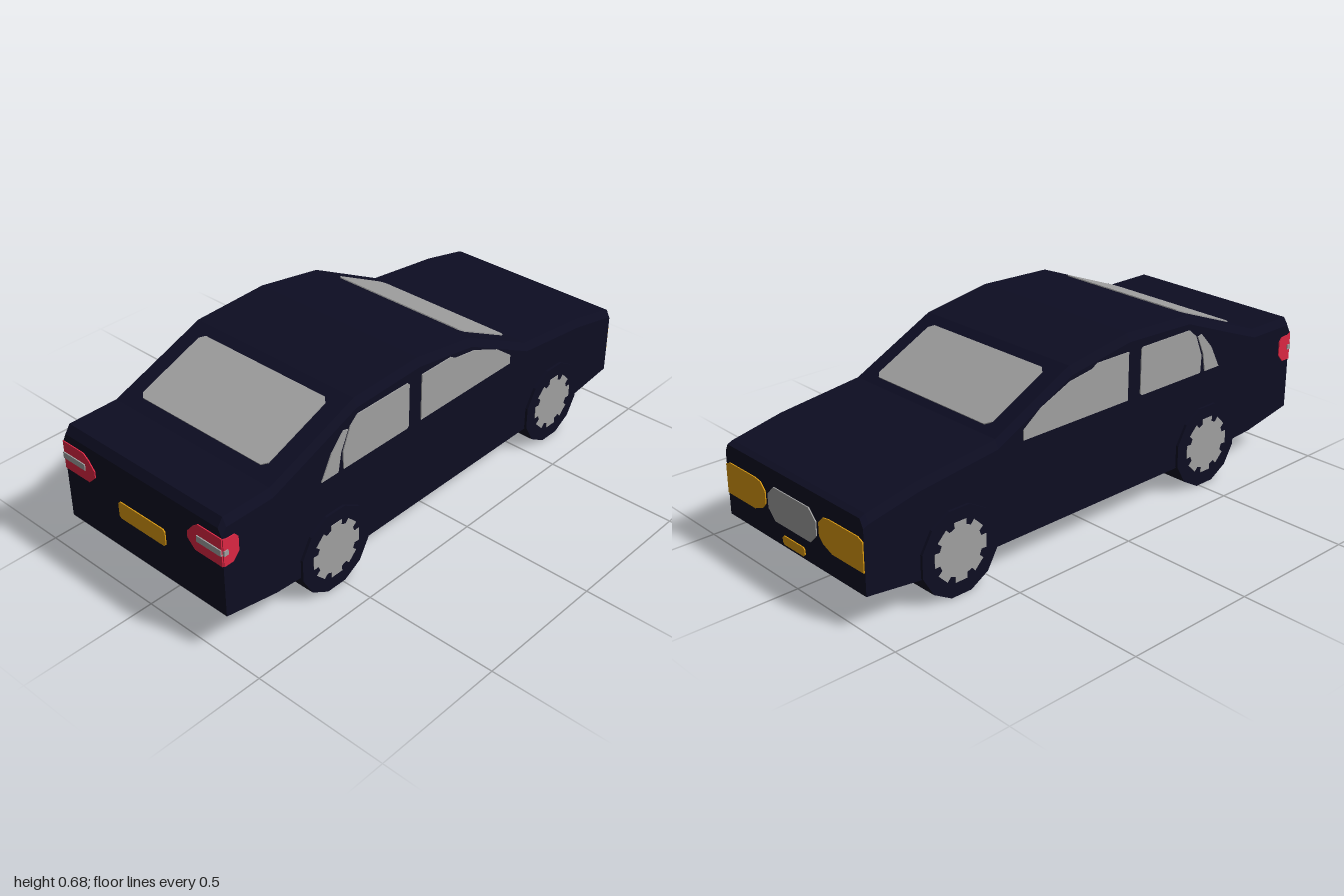
import * as THREE from 'three';

const mat = (name, color) => {
  const m = new THREE.MeshStandardMaterial({ color });
  m.name = name;
  return m;
};

export function createModel() {
  const car = new THREE.Group();
  car.name = 'car';
  const navy = mat('darkNavy', 0x0d0d22);
  const grey = mat('silverGrey', 0xa0a0a0);
  const red = mat('lampRed', 0xdc2643);
  const amber = mat('amber', 0xd9980f);
  const W = 0.37; // half width of the body
  const T = 0.004; // thickness of painted plates

  const add = (name, geo, material) => {
    const mesh = new THREE.Mesh(geo, material);
    mesh.name = name;
    car.add(mesh);
    return mesh;
  };

  // Body: beveled cross-sections [z, bottom, top] joined from tail to nose
  const stations = [
    [1, 0.17, 0.5], [0.98, 0.166, 0.53], [0.79, 0.13, 0.53], [0.64, 0.12, 0.587],
    [0.42, 0.105, 0.672], [0.12, 0.105, 0.682], [-0.15, 0.105, 0.637],
    [-0.47, 0.105, 0.476], [-0.79, 0.105, 0.437], [-0.98, 0.128, 0.396], [-1, 0.13, 0.387],
  ];
  const rings = stations.map(([z, b, t]) => [
    [W, b, z], [W, t - 0.03, z], [W - 0.015, t, z],
    [0.015 - W, t, z], [-W, t - 0.03, z], [-W, b, z],
  ]);
  const verts = [];
  const tri = (...corners) => corners.forEach((c) => verts.push(...c));
  for (let i = 0; i < rings.length - 1; i++) {
    const near = rings[i], far = rings[i + 1];
    for (let j = 0; j < 6; j++) {
      const k = (j + 1) % 6;
      tri(far[j], far[k], near[k]);
      tri(far[j], near[k], near[j]);
    }
  }
  const tail = rings[0], nose = rings[rings.length - 1];
  for (let j = 1; j < 5; j++) {
    tri(tail[0], tail[j], tail[j + 1]);
    tri(nose[0], nose[j + 1], nose[j]);
  }
  const bodyGeo = new THREE.BufferGeometry();
  bodyGeo.setAttribute('position', new THREE.Float32BufferAttribute(verts, 3));
  bodyGeo.computeVertexNormals();
  add('body', bodyGeo, navy);

  // Thin plate cut from an outline
  const plate = (name, pts, material, depth = T) => {
    const shape = new THREE.Shape(pts.map(([x, y]) => new THREE.Vector2(x, y)));
    return add(name, new THREE.ExtrudeGeometry(shape, { depth, bevelEnabled: false }), material);
  };
  // Outline in (z, y) placed on both flanks
  const sidePlates = (name, pts, material, x = W, depth = T) => {
    for (const s of [1, -1]) {
      const m = plate((s > 0 ? 'left' : 'right') + name, pts.map(([z, y]) => [-s * z, y]), material, depth);
      m.rotation.y = s * Math.PI / 2;
      m.position.x = s * x;
    }
  };
  const tailPlate = (name, pts, material, depth) => {
    plate(name, pts, material, depth).position.z = 1;
  };
  const nosePlate = (name, pts, material) => {
    const m = plate(name, pts, material);
    m.rotation.y = Math.PI;
    m.position.z = -1;
  };
  const rect = (x0, x1, y0, y1) => [[x0, y0], [x1, y0], [x1, y1], [x0, y1]];
  // Rectangle with clipped corners
  const clipped = (w, y0, y1, c, d = c) => [
    [-w + c, y0], [w - c, y0], [w, y0 + d], [w, y1 - d],
    [w - c, y1], [-w + c, y1], [-w, y1 - d], [-w, y0 + d],
  ];

  // Side windows
  sidePlates('FrontWindow', [
    [0.113, 0.445], [0.113, 0.62], [-0.035, 0.62], [-0.06, 0.605], [-0.16, 0.59],
    [-0.29, 0.535], [-0.365, 0.48], [-0.365, 0.445],
  ], grey);
  sidePlates('RearWindow', [
    [0.175, 0.452], [0.183, 0.445], [0.485, 0.445], [0.488, 0.51], [0.455, 0.59],
    [0.42, 0.62], [0.183, 0.62], [0.175, 0.612],
  ], grey);
  sidePlates('QuarterWindow', [
    [0.585, 0.445], [0.51, 0.445], [0.497, 0.515], [0.465, 0.585], [0.485, 0.59], [0.54, 0.53],
  ], grey);

  // Sloping windows lying on the body between two profile points
  const slopeWindow = (name, [z0, y0], [z1, y1], top, bottom, corner) => {
    const run = Math.abs(z0 - z1), len = Math.hypot(run, y1 - y0);
    const m = plate(name, clipped(0.29, len * bottom, len * top, corner), grey);
    m.rotation.order = 'YXZ';
    m.rotation.y = z0 > 0 ? 0 : Math.PI;
    m.rotation.x = -Math.atan2(run, y1 - y0);
    m.position.set(0, y0, z0);
  };
  slopeWindow('rearWindow', [0.79, 0.53], [0.42, 0.672], 0.89, 0.125, 0.018);
  slopeWindow('windshield', [-0.47, 0.476], [-0.15, 0.637], 0.875, 0.09, 0.018);

  // Tail lamps wrapping onto the flanks, with pale reflector strips
  for (const s of [1, -1]) {
    const mirror = (pts) => pts.map(([x, y]) => [s * x, y]);
    tailPlate('tailLamp', mirror([
      [W, 0.364], [0.25, 0.364], [0.218, 0.395], [0.218, 0.42], [0.245, 0.452], [0.268, 0.469], [W, 0.469],
    ]), red);
    tailPlate('tailLampStrip', mirror(rect(0.263, W, 0.405, 0.428)), grey, T * 2);
    // Headlamps
    nosePlate('headlamp', mirror([
      [0.368, 0.21], [0.21, 0.21], [0.165, 0.228], [0.145, 0.25], [0.145, 0.295],
      [0.17, 0.32], [0.2, 0.325], [0.345, 0.325], [0.368, 0.315],
    ]), amber);
  }
  sidePlates('LampWrap', [
    [1, 0.364], [0.962, 0.364], [0.938, 0.392], [0.938, 0.445], [0.95, 0.46], [0.985, 0.462], [1, 0.468],
  ], red);
  sidePlates('LampWrapStrip', rect(0.983, 1, 0.405, 0.423), grey, W, T * 2);

  // Plates and grille
  tailPlate('rearPlate', clipped(0.11, 0.297, 0.362, 0.008), amber);
  nosePlate('grille', clipped(0.13, 0.207, 0.327, 0.035), grey);
  nosePlate('frontPlate', clipped(0.06, 0.14, 0.172, 0.008), amber);

  // Wheels with eight-lobed hubcaps
  const wheelGeo = new THREE.CylinderGeometry(0.158, 0.158, 0.13, 12, 1, false, Math.PI / 12)
    .rotateZ(Math.PI / 2).toNonIndexed();
  wheelGeo.computeVertexNormals();
  for (const z of [0.53, -0.64]) {
    for (const s of [1, -1]) add('wheel', wheelGeo, navy).position.set(s * 0.315, 0.153, z);
    const hub = [];
    for (let i = 0; i < 8; i++) {
      for (const [da, r] of [[-0.27, 0.088], [-0.23, 0.108], [0.23, 0.108], [0.27, 0.088]]) {
        const a = i * Math.PI / 4 + da;
        hub.push([z + r * Math.cos(a), 0.156 + r * Math.sin(a)]);
      }
    }
    sidePlates('Hubcap', hub, grey, 0.379, 0.003);
  }
  return car;
}
